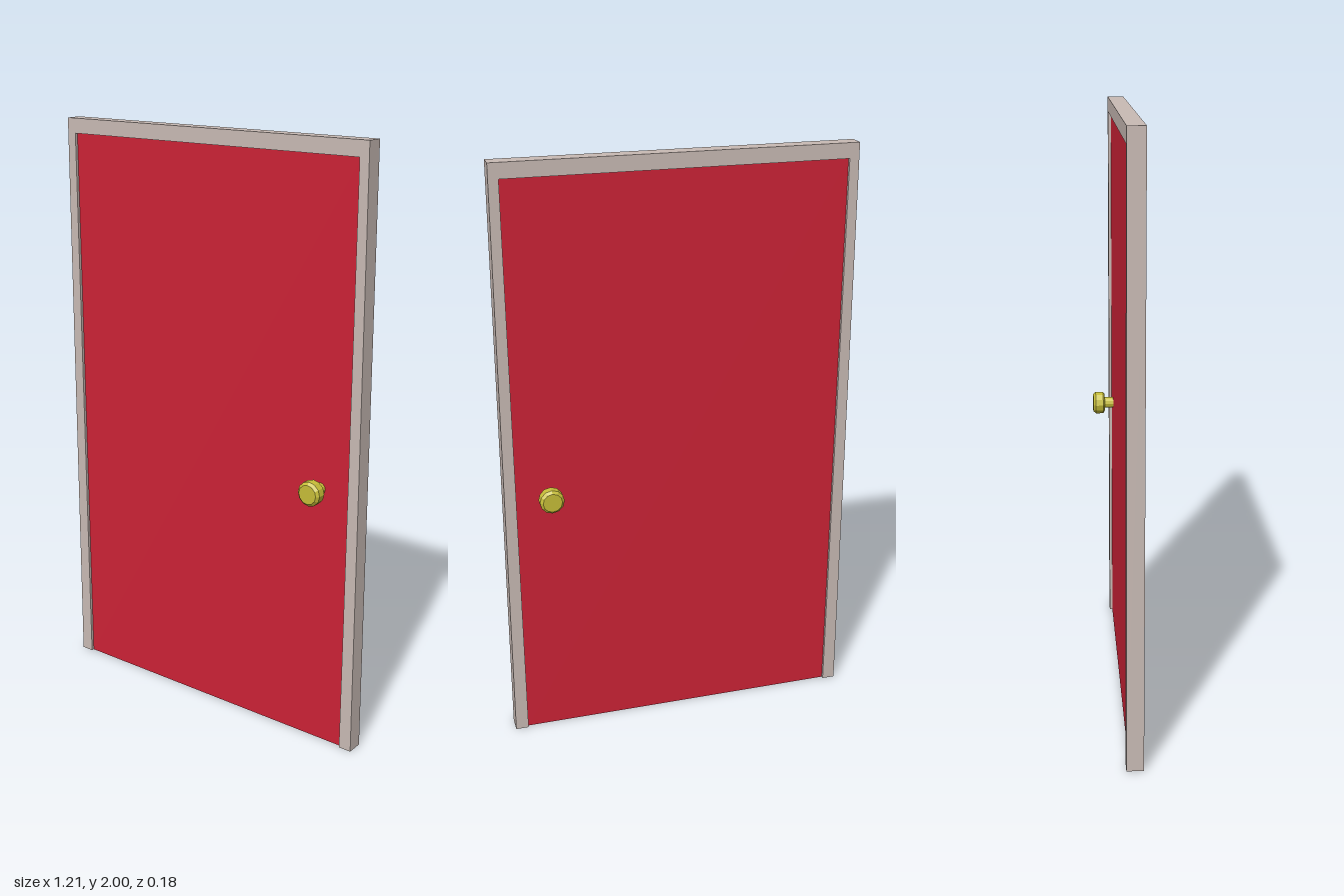
import * as THREE from 'three';

const FRAME_DEPTH = 0.056;
const LEAF_DEPTH = 0.036;

export function createModel() {
  const model = new THREE.Group();
  model.name = 'door';

  const paint = (color) => new THREE.MeshStandardMaterial({ color, flatShading: true });
  const frameMat = paint(0xc8bab4);
  const leafMat = paint(0xcc2236);
  const brassMat = paint(0xc6bd38);

  const add = (parent, name, geometry, material) => {
    const mesh = new THREE.Mesh(geometry, material);
    mesh.name = name;
    parent.add(mesh);
    return mesh;
  };

  // Frame: two jambs and a head in one outline, tapering slightly to the top
  const outline = new THREE.Shape([
    [-0.604, 0], [-0.56, 0], [-0.56, 1.95], [0.56, 1.95],
    [0.56, 0], [0.604, 0], [0.592, 2], [-0.592, 2],
  ].map(([x, y]) => new THREE.Vector2(x, y)));
  const frameGeo = new THREE.ExtrudeGeometry(outline, { depth: FRAME_DEPTH, bevelEnabled: false });
  frameGeo.translate(0, 0, -FRAME_DEPTH / 2);
  add(model, 'frame', frameGeo, frameMat);

  // Leaf, set back a little from both faces of the frame
  add(model, 'leaf', new THREE.BoxGeometry(1.12, 1.95, LEAF_DEPTH), leafMat).position.y = 0.975;

  // Knob profile: stem, bevelled back, rim, bevelled face (radius, distance from leaf centre)
  const profile = [
    [0.02, 0.01], [0.02, 0.05], [0.033, 0.05], [0.041, 0.056],
    [0.041, 0.083], [0.032, 0.092], [0, 0.092],
  ].map(([r, d]) => new THREE.Vector2(r, d));
  const knobGeo = new THREE.LatheGeometry(profile, 12, Math.PI / 2);

  // One knob on each side
  for (const side of [1, -1]) {
    const knob = add(model, side > 0 ? 'frontKnob' : 'backKnob', knobGeo, brassMat);
    knob.position.set(0.45, 0.9, 0);
    knob.rotation.x = side * Math.PI / 2;
  }

  return model;
}
